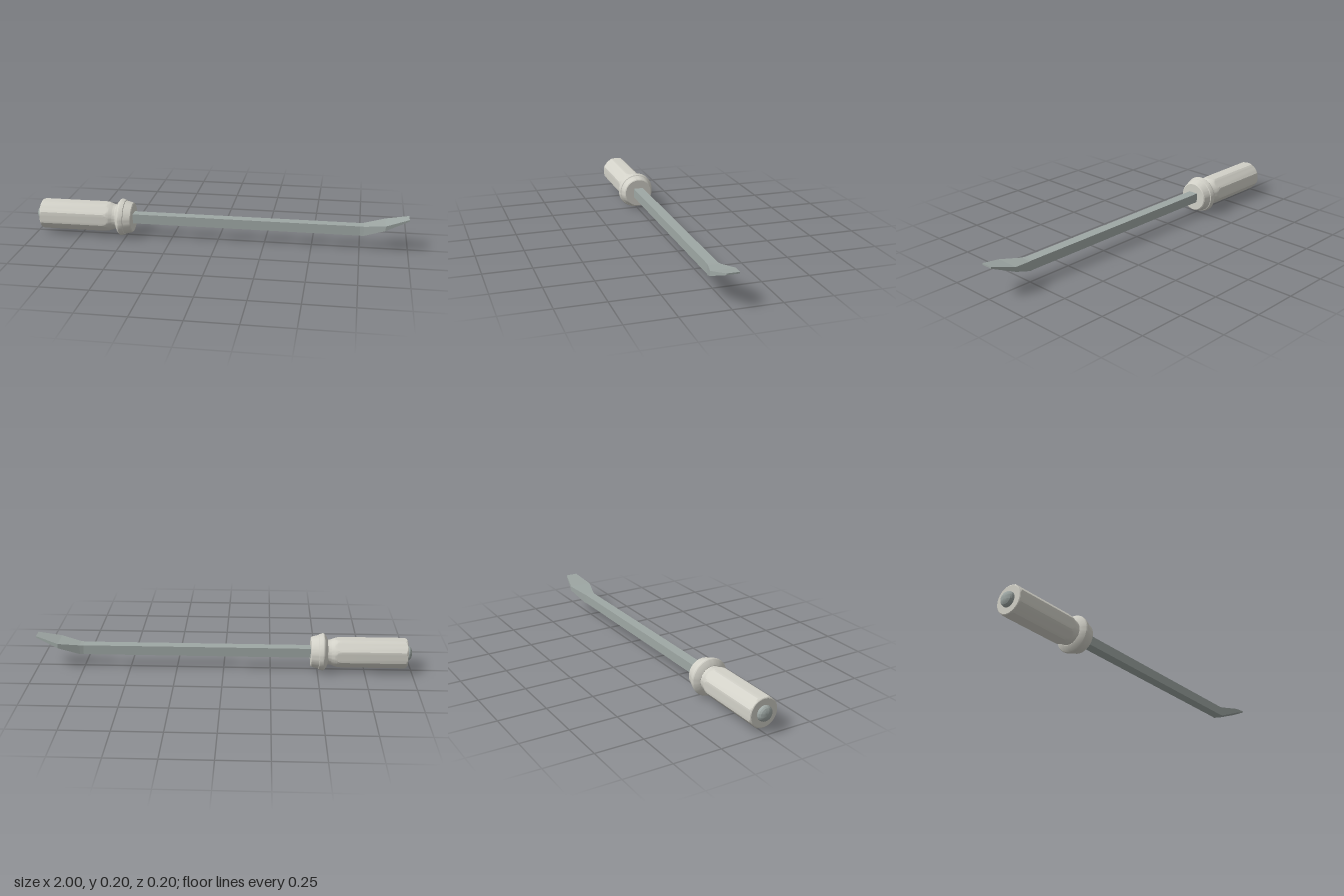
import * as THREE from 'three';
import { toCreasedNormals } from 'three/addons/utils/BufferGeometryUtils.js';

const AXIS_Y = 0.1;

// Lathe along x from [x, radius] pairs, with optional reshaping of the vertices
function turned(name, profile, material, reshape) {
  const points = profile.map(([x, r]) => new THREE.Vector2(r, x));
  const geometry = new THREE.LatheGeometry(points, 64);
  if (reshape) reshape(geometry.attributes.position);
  geometry.rotateZ(-Math.PI / 2);
  const mesh = new THREE.Mesh(toCreasedNormals(geometry, 0.29), material);
  mesh.name = name;
  mesh.position.y = AXIS_Y;
  return mesh;
}

// Cut eight flats into the round grip
function cutFlats(position) {
  const apothem = 0.076, step = Math.PI / 4;
  for (let i = 0; i < position.count; i++) {
    const x = position.getX(i), z = position.getZ(i);
    const r = Math.hypot(x, z);
    if (r < 1e-6) continue;
    const angle = Math.atan2(z, x);
    const offset = angle - Math.round(angle / step) * step;
    const k = Math.min(1, apothem / Math.cos(offset) / r);
    position.setX(i, x * k);
    position.setZ(i, z * k);
  }
}

// Rectangular sections [x, bottom, top, halfWidth] joined into a solid bar
function bar(sections) {
  const rings = sections.map(([x, b, t, w]) => [[x, b, w], [x, b, -w], [x, t, -w], [x, t, w]]);
  const vertices = [];
  const quad = (a, b, c, d) => vertices.push(...a, ...b, ...c, ...a, ...c, ...d);
  for (let i = 0; i < rings.length - 1; i++) {
    const p = rings[i], q = rings[i + 1];
    for (let j = 0; j < 4; j++) {
      const k = (j + 1) % 4;
      quad(p[j], p[k], q[k], q[j]);
    }
  }
  const first = rings[0], last = rings[rings.length - 1];
  quad(first[3], first[2], first[1], first[0]);
  quad(...last);
  const geometry = new THREE.BufferGeometry();
  geometry.setAttribute('position', new THREE.Float32BufferAttribute(vertices, 3));
  geometry.computeVertexNormals();
  return geometry;
}

export function createModel() {
  const group = new THREE.Group();
  group.name = 'pryBar';
  const gripMaterial = new THREE.MeshStandardMaterial({ color: 0xd2d1c8 });
  const steelMaterial = new THREE.MeshStandardMaterial({ color: 0x9ea7a4, side: THREE.DoubleSide });

  // Grip with flats, fading out into a round neck
  const neck = new THREE.CatmullRomCurve3(
    [[-0.625, 0.081], [-0.6, 0.0785], [-0.58, 0.072], [-0.565, 0.067], [-0.55, 0.067], [-0.535, 0.074]]
      .map(([x, r]) => new THREE.Vector3(x, r, 0))
  ).getPoints(24).map((p) => [p.x, p.y]);
  group.add(turned('grip',
    [[-0.972, 0], [-0.972, 0.072], [-0.969, 0.076], [-0.962, 0.081], ...neck, [-0.535, 0]],
    gripMaterial, cutFlats));

  // Guard collar with a raised rim and a tapered nose
  group.add(turned('collar', [
    [-0.552, 0], [-0.552, 0.068], [-0.546, 0.082], [-0.535, 0.096], [-0.53, 0.099], [-0.524, 0.099],
    [-0.507, 0.094], [-0.505, 0.09], [-0.473, 0.082], [-0.467, 0.08], [-0.463, 0.075], [-0.463, 0],
  ], gripMaterial));

  // Domed striking cap at the end of the grip
  group.add(turned('strikingCap', [
    [-1, 0], [-0.999, 0.012], [-0.996, 0.023], [-0.991, 0.032], [-0.984, 0.038], [-0.976, 0.04],
    [-0.965, 0.04], [-0.965, 0],
  ], steelMaterial));

  // Square shaft flowing into the upswept, flared blade
  const shaft = new THREE.Mesh(bar([
    [-0.5, 0.076, 0.127, 0.027],
    [0.75, 0.076, 0.127, 0.027],
    [0.77, 0.077, 0.128, 0.031],
    [0.88, 0.122, 0.147, 0.062],
    [1, 0.17, 0.178, 0.032],
  ]), steelMaterial);
  shaft.name = 'shaftAndBlade';
  group.add(shaft);

  return group;
}
